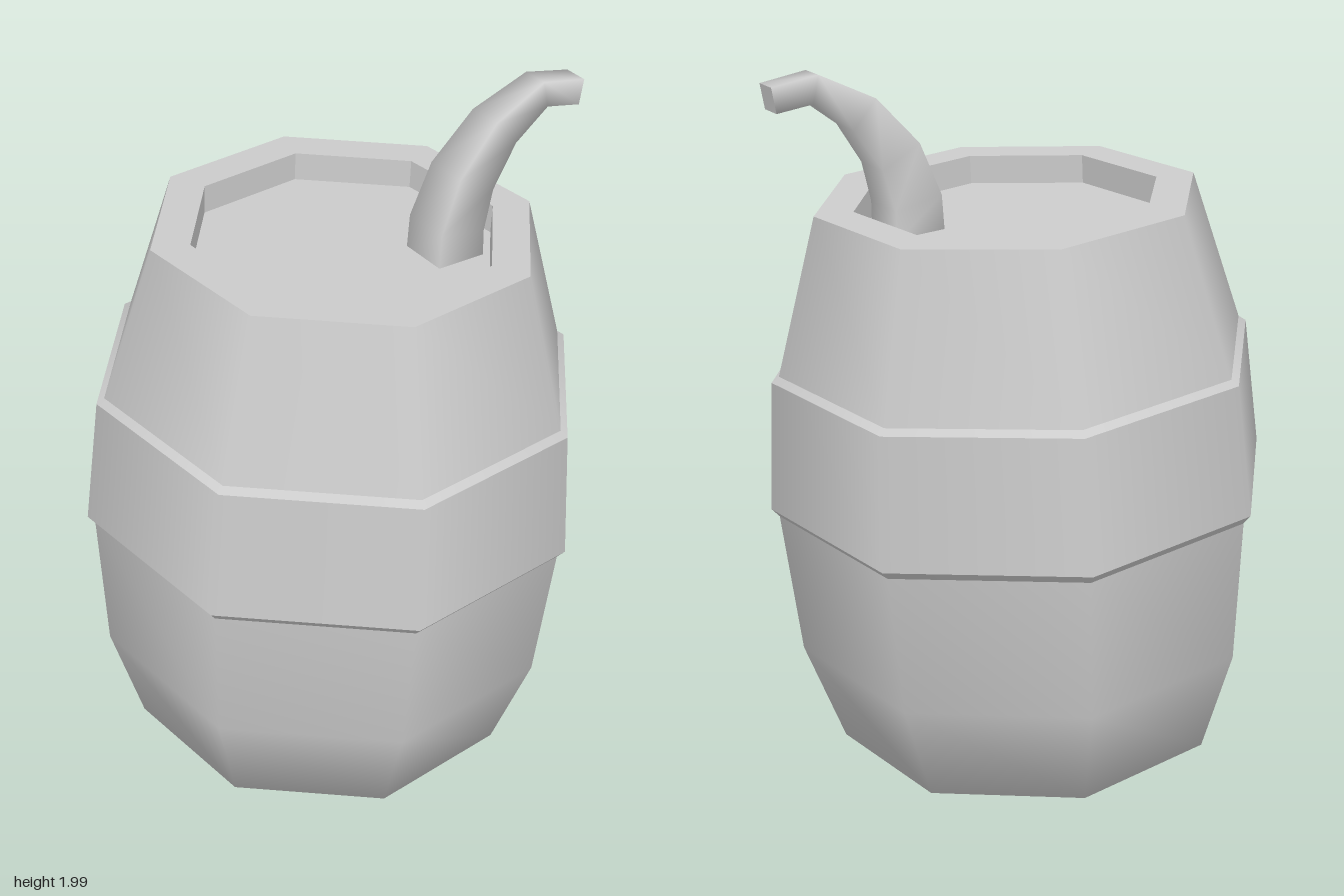
import * as THREE from 'three';

const SIDES = 8;
const PHASE = THREE.MathUtils.degToRad(28.3);

function makeMaterial(flat = false) {
  return new THREE.MeshStandardMaterial({ color: 0xcccccc, flatShading: flat });
}

// One smooth eight-sided ring of surface; separate rings keep crisp edges between them
function ring(name, profile, flat = false) {
  const points = profile.map(([r, y]) => new THREE.Vector2(r, y));
  const mesh = new THREE.Mesh(new THREE.LatheGeometry(points, SIDES, PHASE), makeMaterial(flat));
  mesh.name = name;
  return mesh;
}

// Four-sided tapering tube bending in the xy plane, closed at both ends
function stemGeometry(path) {
  const positions = [];
  const index = [];
  const corners = [[1, 1], [-1, 1], [-1, -1], [1, -1]];
  const rings = path.map(([x, y, z, r], i) => {
    const a = path[Math.max(i - 1, 0)];
    const b = path[Math.min(i + 1, path.length - 1)];
    const t = new THREE.Vector2(b[0] - a[0], b[1] - a[1]).normalize();
    if (i === 0) t.set(0, 1);
    return corners.map(([u, w]) => [x + t.y * u * r, y - t.x * u * r, z + w * r * 0.97]);
  });
  rings.forEach((loop) => loop.forEach((p) => positions.push(...p)));
  for (let i = 0; i < rings.length - 1; i++) {
    for (let j = 0; j < 4; j++) {
      const a = i * 4 + j;
      const b = i * 4 + (j + 1) % 4;
      index.push(a, a + 4, b, b, a + 4, b + 4);
    }
  }
  // End caps use their own vertices so they stay flat
  const first = positions.length / 3;
  rings[0].forEach((p) => positions.push(...p));
  rings[rings.length - 1].forEach((p) => positions.push(...p));
  index.push(first, first + 1, first + 2, first, first + 2, first + 3);
  index.push(first + 4, first + 6, first + 5, first + 4, first + 7, first + 6);

  const geometry = new THREE.BufferGeometry();
  geometry.setAttribute('position', new THREE.Float32BufferAttribute(positions, 3));
  geometry.setIndex(index);
  geometry.computeVertexNormals();
  return geometry;
}

export function createModel() {
  const model = new THREE.Group();
  model.name = 'barrelWithStem';

  // Barrel, leaning slightly to its left
  const barrel = new THREE.Group();
  barrel.name = 'barrel';
  barrel.add(
    ring('lowerBody', [[0, 0], [0.324, 0], [0.551, 0.085], [0.65, 0.385], [0.684, 0.795]]),
    ring('bandUnderside', [[0.684, 0.795], [0.705, 0.82]]),
    ring('band', [[0.705, 0.82], [0.673, 1.185]]),
    ring('bandTopEdge', [[0.673, 1.185], [0.652, 1.2]]),
    ring('upperBody', [[0.652, 1.2], [0.524, 1.63]]),
    ring('rim', [[0.524, 1.63], [0.418, 1.63]]),
    ring('recessWall', [[0.418, 1.63], [0.418, 1.55]], true),
    ring('lid', [[0.418, 1.55], [0, 1.55]]),
  );
  barrel.rotation.z = -0.05;
  barrel.position.set(-0.04, 0.02, 0);
  model.add(barrel);

  // Curved stem standing on the lid: x, y, z and half width at each bend
  const path = [
    [0.272, 1.545, 0.133, 0.073],
    [0.275, 1.64, 0.134, 0.071],
    [0.318, 1.768, 0.138, 0.063],
    [0.412, 1.888, 0.146, 0.051],
    [0.537, 1.962, 0.16, 0.038],
    [0.648, 1.942, 0.175, 0.035],
  ];
  const stem = new THREE.Mesh(stemGeometry(path), makeMaterial());
  stem.name = 'stem';
  model.add(stem);

  return model;
}
